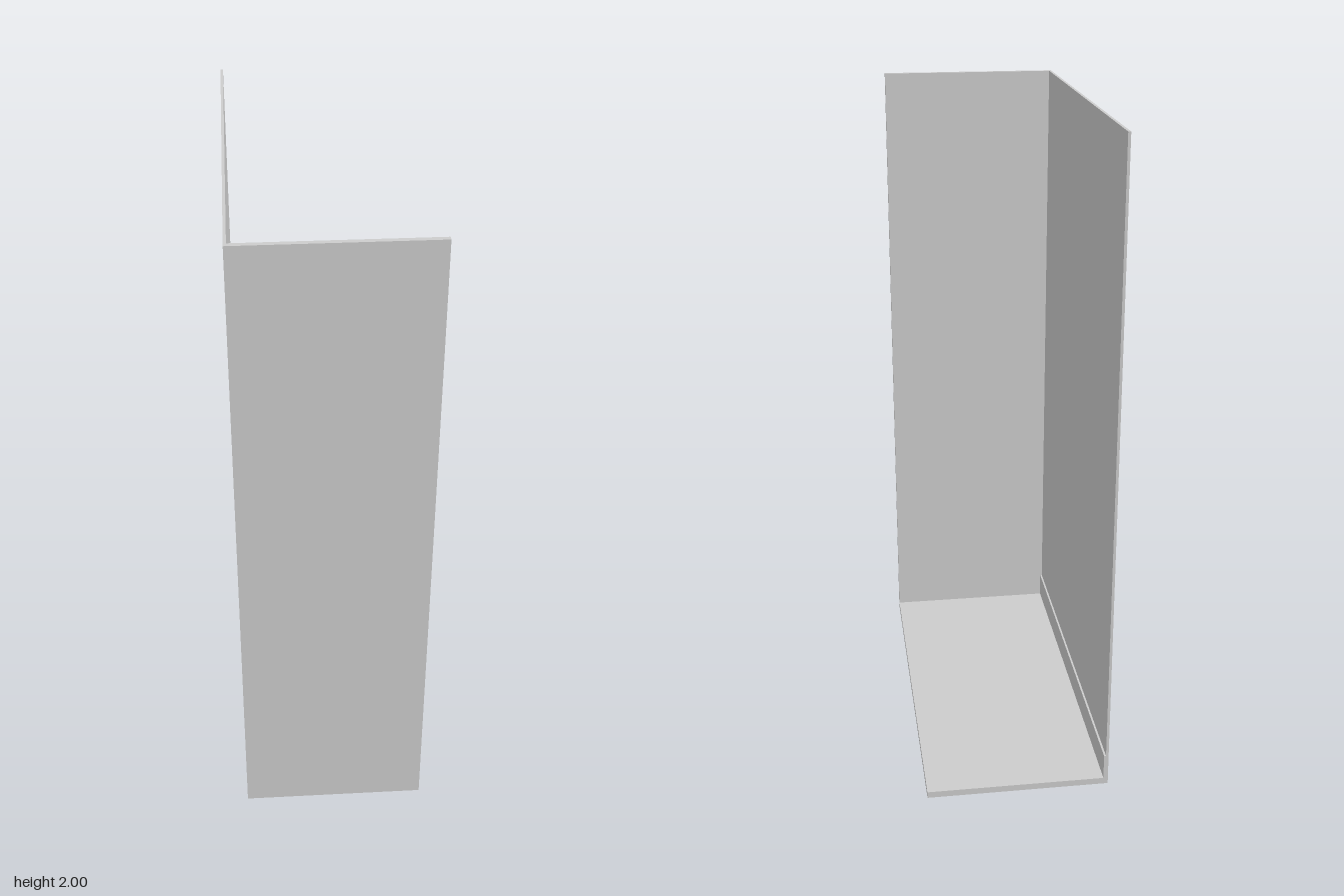
import * as THREE from 'three';

export function createModel() {
  const model = new THREE.Group();
  const material = new THREE.MeshStandardMaterial({ color: 0xcccccc, flatShading: true });

  // Box given by its lower and upper corners
  function slab(name, [x0, y0, z0], [x1, y1, z1]) {
    const mesh = new THREE.Mesh(new THREE.BoxGeometry(x1 - x0, y1 - y0, z1 - z0), material);
    mesh.position.set((x0 + x1) / 2, (y0 + y1) / 2, (z0 + z1) / 2);
    mesh.name = name;
    model.add(mesh);
  }

  const W = 0.279, D = 0.6, H = 2;
  const sideT = 0.008, frontT = 0.015, floorT = 0.02;
  const innerX = -W + sideT, innerZ = D - frontT;

  // Tall side wall and the narrower front wall meeting it at the corner
  slab('sideWall', [-W, 0, -D], [innerX, H, innerZ]);
  slab('frontWall', [-W, 0, innerZ], [W, H, D]);
  // Floor between the walls
  slab('floor', [innerX, 0, -D], [W, floorT, innerZ]);
  // Skirting board along the foot of the side wall
  slab('skirtingBoard', [innerX, floorT, -D], [innerX + 0.006, 0.1, innerZ]);

  return model;
}
